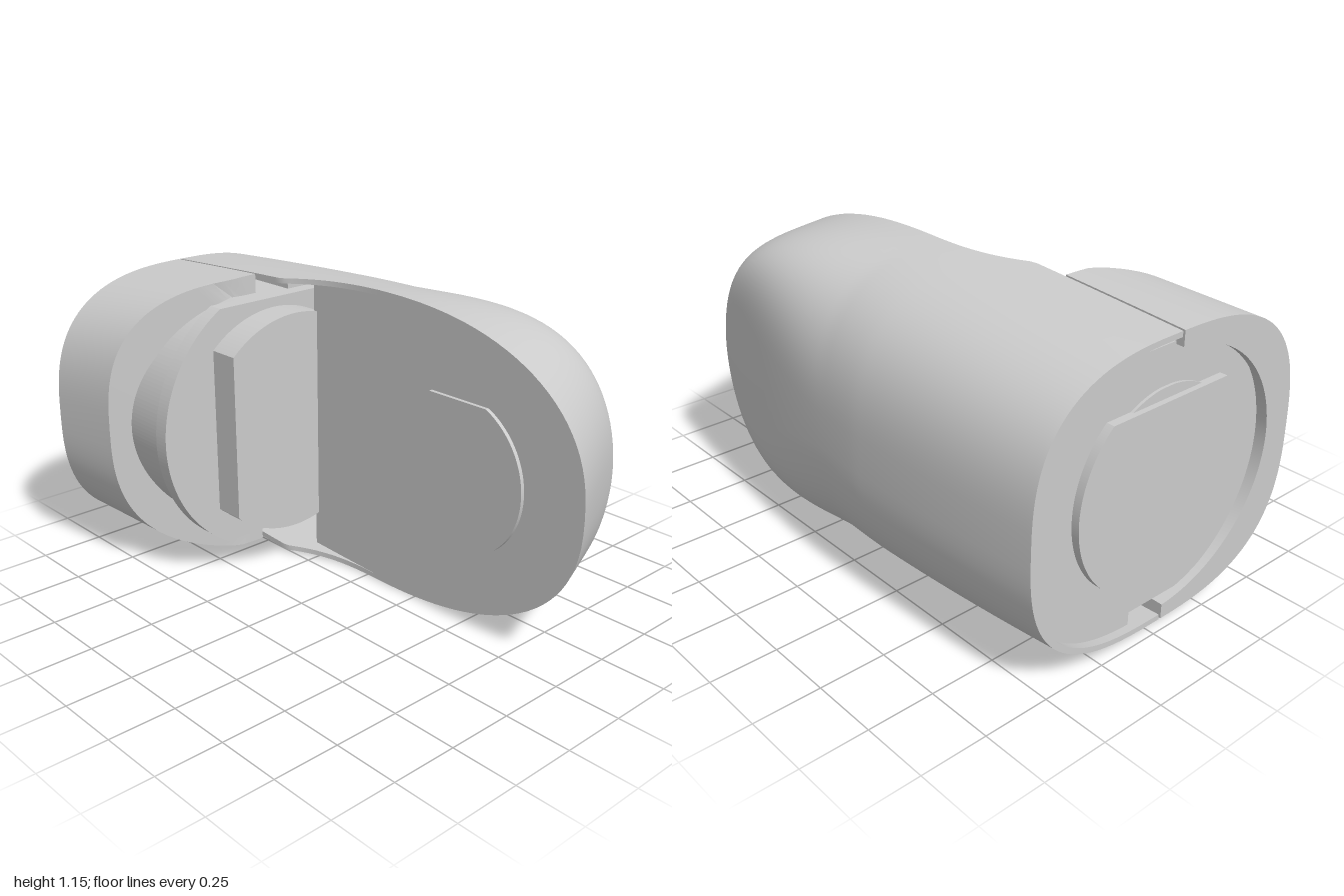
import * as THREE from 'three';
import { toCreasedNormals } from 'three/addons/utils/BufferGeometryUtils.js';

const CY = 0.575; // height of the shell's centre line
const JY = 0.5875; // height of the joint's axis
const N = 56; // segments around half a section
const material = new THREE.MeshStandardMaterial({ color: 0xcccccc, side: THREE.DoubleSide });

function addMesh(parent, name, geometry) {
  const mesh = new THREE.Mesh(geometry, material);
  mesh.name = name;
  parent.add(mesh);
  return mesh;
}

// Skin stretched over rows of points
function skin(rows) {
  const cols = rows[0].length;
  const index = [];
  for (let i = 0; i < rows.length - 1; i++) {
    for (let j = 0; j < cols - 1; j++) {
      const a = i * cols + j, b = a + cols;
      index.push(a, a + 1, b, a + 1, b + 1, b);
    }
  }
  const g = new THREE.BufferGeometry();
  g.setAttribute('position', new THREE.Float32BufferAttribute(rows.flat().flatMap((p) => p.toArray()), 3));
  g.setIndex(index);
  return toCreasedNormals(g, 0.55);
}

// Half superellipse, from top edge round the side to bottom edge; xin is where it is cut off
function halfSection(a, b, n, xin) {
  const limit = Math.acos(Math.pow(Math.max(xin, 0) / a, n / 2));
  const pts = [];
  for (let j = 0; j <= N; j++) {
    const t = limit * (1 - (2 * j) / N);
    const edge = j === 0 || j === N;
    const x = edge ? xin : a * Math.pow(Math.max(Math.cos(t), 0), 2 / n);
    pts.push([x, Math.sign(t) * b * Math.pow(Math.abs(Math.sin(t)), 2 / n)]);
  }
  return pts;
}

// Curved wall: outer and inner rows joined, plus both end rims
function addWall(parent, name, outer, inner) {
  addMesh(parent, name, skin(outer.map((o, i) => [...o, ...[...inner[i]].reverse(), o[0]])));
  const last = outer.length - 1;
  addMesh(parent, name + 'BackRim', skin([inner[0], outer[0]]));
  addMesh(parent, name + 'FrontRim', skin([outer[last], inner[last]]));
}

// Half height along the length
function halfHeight(w) {
  if (w < 0.05) return CY - 0.05 * Math.pow((0.05 - w) / 1.05, 1.3);
  return CY * Math.pow(Math.max(1 - Math.pow((w - 0.05) / 0.95, 2.4), 0), 1 / 2.4);
}

// Outer half width of the long shell
function halfWidth(w) {
  return w < -0.2 ? 0.62 - 0.035 * Math.pow((-0.2 - w) / 0.8, 2)
    : 0.62 - 0.13 * Math.pow((w + 0.2) / 1.2, 1.4);
}

// Inner edge of the long shell, stepping in past the joint
function innerEdge(w) {
  const t = THREE.MathUtils.clamp((w + 0.36) / 0.46, 0, 1);
  return -0.02 + 0.11 * (1 - (1 - t) ** 3);
}

function addLongShell(parent) {
  const stations = [];
  for (let i = 0; i < 42; i++) stations.push(-1 + (1.05 * i) / 42);
  for (let i = 0; i <= 28; i++) stations.push(0.05 + 0.95 * Math.sin((i / 28) * Math.PI / 2));
  const row = (w, wall) => {
    const slant = 0.46 * Math.max(w, 0) ** 2; // nose leans back towards the outside
    const n = 2.8 + 6 * Math.max(w, 0) ** 1.5; // sections grow boxier towards the nose
    return halfSection(halfWidth(w) - wall, Math.max(halfHeight(w) - wall, 0), n, innerEdge(w))
      .map(([x, y]) => new THREE.Vector3(x, CY + y, w - slant * Math.max(x - 0.09, 0)));
  };
  const outer = stations.map((w) => row(w, 0));
  const inner = stations.map((w) => row(w, 0.02));
  addWall(parent, 'longShell', outer, inner);

  // flat inner face
  const face = inner.filter((r, i) => stations[i] > -0.3)
    .map((r) => [r[N], r[0]].map((p) => new THREE.Vector3(0.09, p.y, p.z)));
  addMesh(parent, 'innerFace', skin(face));
}

function addSideCover(parent) {
  const outer = [], inner = [];
  const place = ([x], y, v) => {
    const end = -0.5 - 0.21 * Math.max(0, (x - 0.15) / 0.435);
    const z = -1 + (end + 1) * v;
    return new THREE.Vector3(-x, CY + y(z), z);
  };
  for (let i = 0; i <= 12; i++) {
    const v = i / 12;
    outer.push(halfSection(0.625 - 0.04 * v, 1, 2.8, 0.03).map((p) => place(p, (z) => p[1] * halfHeight(z), v)));
    inner.push(halfSection(0.51, 0.47, 2, 0.03).map((p) => place(p, () => p[1], v)));
  }
  addWall(parent, 'sideCover', outer, inner);
}

// Disc with two parallel flats
function flattedDisc(radius, half) {
  const a = Math.asin(half / radius);
  const s = new THREE.Shape();
  s.absarc(0, 0, radius, -a, a, false);
  s.absarc(0, 0, radius, Math.PI - a, Math.PI + a, false);
  s.closePath();
  return s;
}

function slab(shape, z0, z1) {
  return new THREE.ExtrudeGeometry(shape, { depth: z1 - z0, bevelEnabled: false, curveSegments: 40 })
    .translate(0, 0, z0);
}

export function createModel() {
  const model = new THREE.Group();
  model.name = 'jointLink';
  addLongShell(model);
  addSideCover(model);

  const joint = new THREE.Group();
  joint.name = 'joint';
  joint.position.y = JY;
  model.add(joint);

  // core: fills the shell on one side, round on the other, with notches by the seam
  const core = new THREE.Shape();
  const side = halfSection(0.565, 0.505, 2.8, 0.1);
  side.forEach(([x, y], i) => core[i ? 'lineTo' : 'moveTo'](x, y + CY - JY));
  const clip = 0.4675, turn = Math.asin(clip / 0.49);
  core.lineTo(0.1, -clip);
  core.absarc(0, 0, 0.49, Math.PI + turn, Math.PI - turn, true);
  core.lineTo(0.1, clip);
  core.closePath();
  addMesh(joint, 'core', slab(core, -0.97, -0.465));

  // mounting discs
  addMesh(joint, 'flange', slab(flattedDisc(0.54, clip), -0.465, -0.405));
  const boss = addMesh(joint, 'frontBoss', slab(flattedDisc(0.43, 0.29), -0.405, -0.285));
  boss.rotation.z = Math.PI / 2;
  boss.position.x = -0.02;
  addMesh(joint, 'backBoss', slab(flattedDisc(0.39, 0.29), -1, -0.96));
  addMesh(joint, 'backStep', slab(flattedDisc(0.33, 0.329), -0.98, -0.96));

  // pad on the inner face
  const pad = addMesh(model, 'innerPad', slab(flattedDisc(0.3, 0.27), -0.015, 0.01));
  pad.rotation.y = Math.PI / 2;
  pad.position.set(0.09, CY, 0.45);
  return model;
}
